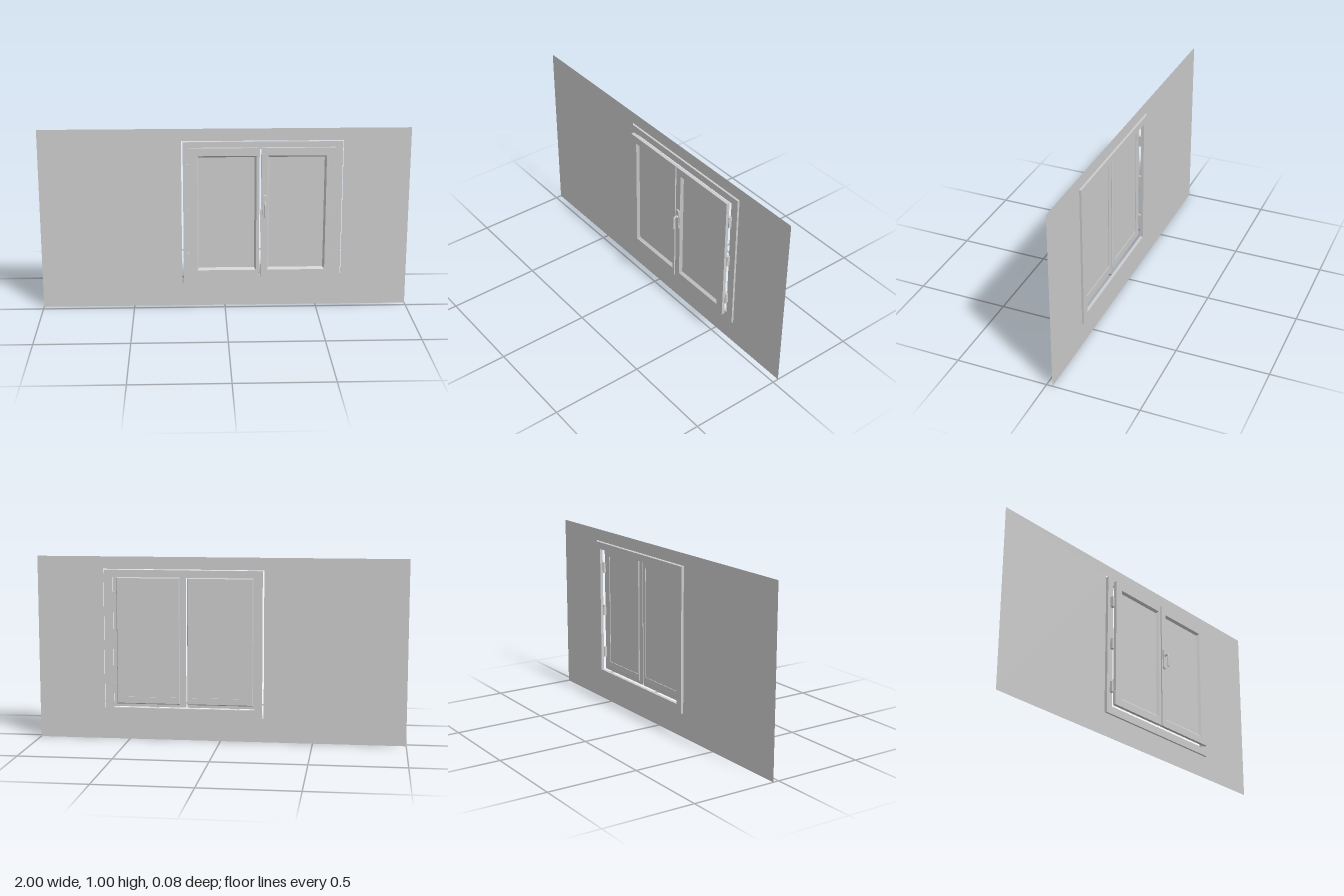
import * as THREE from 'three';

const grey = new THREE.MeshStandardMaterial({ color: 0xcccccc, side: THREE.DoubleSide });
const flat = new THREE.MeshStandardMaterial({ color: 0xcccccc, flatShading: true, side: THREE.DoubleSide });

function add(parent, name, geometry, material = grey) {
  const mesh = new THREE.Mesh(geometry, material);
  mesh.name = name;
  parent.add(mesh);
  return mesh;
}

function box(parent, name, x0, x1, y0, y1, z0, z1) {
  const mesh = add(parent, name, new THREE.BoxGeometry(x1 - x0, y1 - y0, z1 - z0));
  mesh.position.set((x0 + x1) / 2, (y0 + y1) / 2, (z0 + z1) / 2);
  return mesh;
}

// Rectangle outline, used both as a shape and as a hole
function rect(x0, x1, y0, y1, Type = THREE.Shape) {
  return new Type([[x0, y0], [x1, y0], [x1, y1], [x0, y1]].map(p => new THREE.Vector2(...p)));
}

// Joins rectangular sections [x0, x1, y0, y1, z] into a closed mitred ring
function mitredRing(sections) {
  const pos = [], index = [];
  for (const [x0, x1, y0, y1, z] of sections) pos.push(x0, y0, z, x1, y0, z, x1, y1, z, x0, y1, z);
  const n = sections.length;
  for (let s = 0; s < n; s++) {
    for (let k = 0; k < 4; k++) {
      const a = s * 4 + k, b = s * 4 + (k + 1) % 4;
      const c = ((s + 1) % n) * 4 + (k + 1) % 4, d = ((s + 1) % n) * 4 + k;
      index.push(a, b, c, a, c, d);
    }
  }
  const g = new THREE.BufferGeometry();
  g.setAttribute('position', new THREE.Float32BufferAttribute(pos, 3));
  g.setIndex(index);
  const out = g.toNonIndexed();
  out.computeVertexNormals();
  return out;
}

// Sash: flat front, sloped glazing rebate, bevelled back
function sash(parent, name, x0, x1, open0, open1, back0, back1) {
  const group = new THREE.Group();
  group.name = name;
  parent.add(group);
  const y0 = 0.176, y1 = 0.902, b0 = 0.218, b1 = 0.86, s = 0.01;
  add(group, 'sashFrame', mitredRing([
    [x0, x1, y0, y1, -0.01],
    [x0, x1, y0, y1, 0.008],
    [open0, open1, b0, b1, 0.008],
    [open0 + s, open1 - s, b0 + 0.012, b1 - s, -0.006],
    [open0 + s, open1 - s, b0 + 0.012, b1 - s, -0.015],
    [back0 + 0.004, back1 - 0.004, y0 + 0.02, y1 - 0.02, -0.015],
    [back0, back1, y0 + 0.015, y1 - 0.015, -0.01],
  ]), flat);
  box(group, 'pane', open0 + s, open1 - s, b0 + 0.012, b1 - s, -0.011, -0.006);
}

export function createModel() {
  const model = new THREE.Group();
  model.name = 'windowInWall';

  // Thin wall with an opening slightly larger than the frame
  const wallShape = rect(-1, 1, 0, 1);
  wallShape.holes.push(rect(-0.235, 0.637, 0.13, 0.933, THREE.Path));
  add(model, 'wall', new THREE.ShapeGeometry(wallShape)).position.z = -0.033;

  // Fixed outer frame
  const frameShape = rect(-0.226, 0.633, 0.132, 0.929);
  frameShape.holes.push(rect(-0.185, 0.588, 0.175, 0.89, THREE.Path));
  add(model, 'outerFrame', new THREE.ExtrudeGeometry(frameShape, { depth: 0.017, bevelEnabled: false }))
    .position.z = -0.042;

  // Pair of opening sashes
  sash(model, 'rightSash', -0.195, 0.184, -0.152, 0.168, -0.175, 0.184);
  sash(model, 'leftSash', 0.193, 0.59, 0.227, 0.543, 0.225, 0.572);

  // Three hinges on each side
  for (const y of [0.28, 0.53, 0.78]) {
    box(model, 'rightHinge', -0.205, -0.189, y - 0.03, y + 0.03, -0.026, -0.008);
    box(model, 'leftHinge', 0.581, 0.596, y - 0.03, y + 0.03, -0.026, -0.008);
  }

  // Handle: rounded plate and a bent lever
  const handle = new THREE.Group();
  handle.name = 'handle';
  handle.position.set(0.213, 0, 0);
  model.add(handle);
  const r = 0.011, plate = new THREE.Shape();
  plate.absarc(0, 0.629, r, 0, Math.PI);
  plate.absarc(0, 0.531, r, Math.PI, Math.PI * 2);
  add(handle, 'handlePlate', new THREE.ExtrudeGeometry(plate, {
    depth: 0.006, bevelThickness: 0.002, bevelSize: 0.002, bevelSegments: 2, curveSegments: 10,
  })).position.z = 0.008;
  const path = new THREE.CatmullRomCurve3(
    [[0.6, 0.01], [0.6, 0.022], [0.601, 0.032], [0.594, 0.036], [0.57, 0.037], [0.53, 0.0375]]
      .map(([y, z]) => new THREE.Vector3(0, y, z)));
  add(handle, 'handleLever', new THREE.TubeGeometry(path, 30, 0.005, 12));
  const tip = add(handle, 'leverTip', new THREE.SphereGeometry(0.005, 12, 8));
  tip.position.set(0, 0.53, 0.0375);
  const collar = add(handle, 'handleCollar', new THREE.CylinderGeometry(0.008, 0.009, 0.006, 16));
  collar.rotation.x = Math.PI / 2;
  collar.position.set(0, 0.6, 0.018);

  return model;
}
